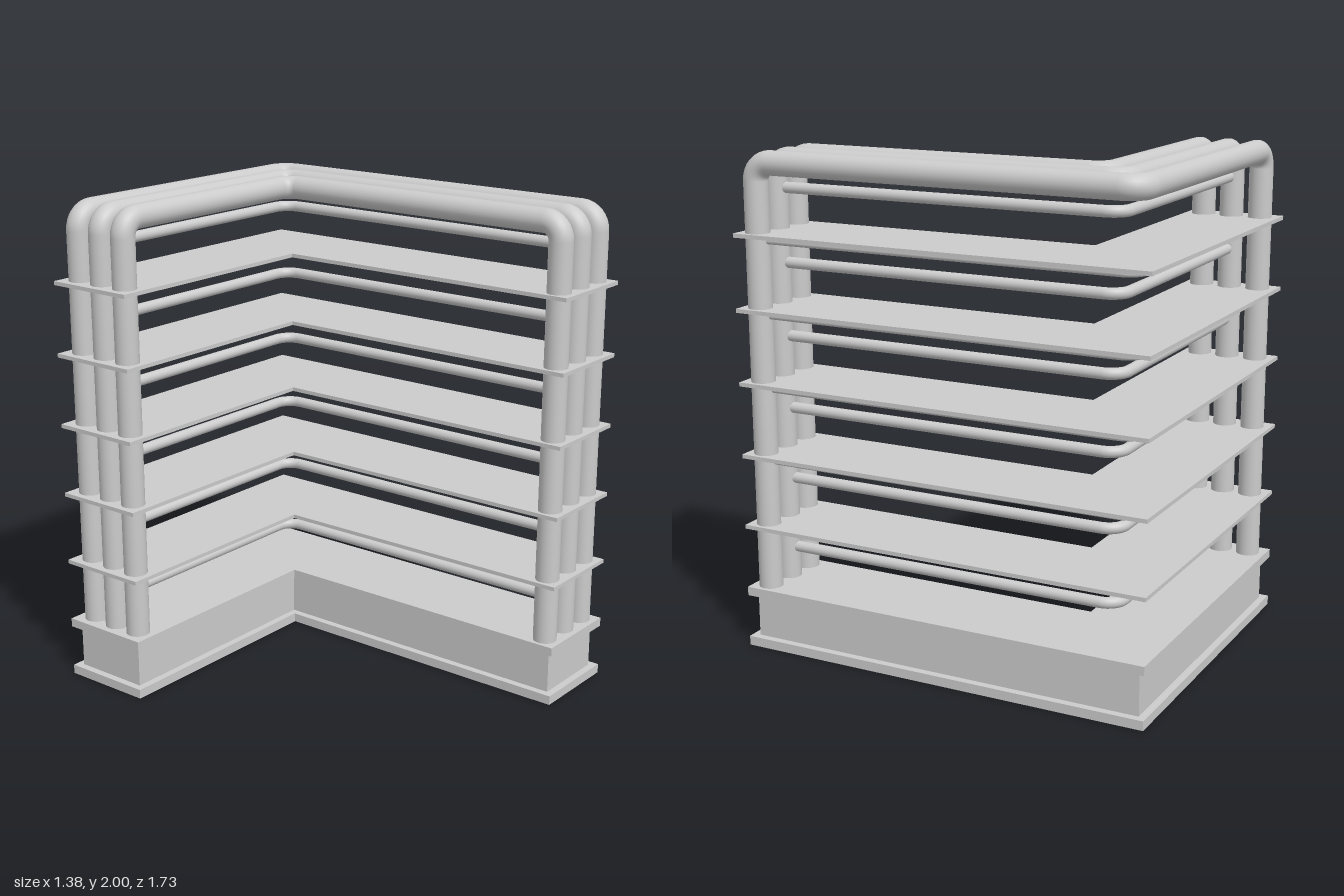
import * as THREE from 'three';

const material = new THREE.MeshStandardMaterial({ color: 0xcccccc });
const V = (x, y, z) => new THREE.Vector3(x, y, z);

// Polyline with rounded corners; each straight or bend gets an equal share of t
class BentPath extends THREE.Curve {
  constructor(points, radius) {
    super();
    this.pieces = [];
    let start = points[0];
    for (let i = 1; i < points.length - 1; i++) {
      const p = points[i];
      const a = points[i - 1].clone().sub(p).setLength(radius).add(p);
      const b = points[i + 1].clone().sub(p).setLength(radius).add(p);
      this.pieces.push(new THREE.LineCurve3(start, a));
      this.pieces.push(new THREE.CubicBezierCurve3(
        a, a.clone().lerp(p, 0.5523), b.clone().lerp(p, 0.5523), b));
      start = b;
    }
    this.pieces.push(new THREE.LineCurve3(start, points[points.length - 1]));
  }
  locate(t) {
    const n = this.pieces.length;
    const i = Math.min(Math.floor(t * n + 1e-9), n - 1);
    return [this.pieces[i], Math.min(Math.max(t * n - i, 0), 1)];
  }
  getPoint(t) { const [c, u] = this.locate(t); return c.getPoint(u); }
  getTangent(t) { const [c, u] = this.locate(t); return c.getTangent(u); }
  getPointAt(t) { return this.getPoint(t); }
  getTangentAt(t) { return this.getTangent(t); }
}

function tube(name, points, radius, bend) {
  const path = new BentPath(points, bend);
  const geometry = new THREE.TubeGeometry(path, path.pieces.length * 8, radius, 24);
  const mesh = new THREE.Mesh(geometry, material);
  mesh.name = name;
  return mesh;
}

// L-shaped plate, with its outline pulled in by inset
function plate(name, y, height, inset = 0) {
  const x = 0.6875 - inset, z = 0.8625 - inset;
  const innerX = 0.3 + inset, innerZ = -0.475 - inset;
  const outline = [[-x, -z], [-x, innerZ], [innerX, innerZ], [innerX, z], [x, z], [x, -z]];
  const shape = new THREE.Shape(outline.map(([px, pz]) => new THREE.Vector2(px, -pz)));
  const geometry = new THREE.ExtrudeGeometry(shape, { depth: height, bevelEnabled: false });
  geometry.rotateX(-Math.PI / 2);
  const mesh = new THREE.Mesh(geometry, material);
  mesh.name = name;
  mesh.position.y = y;
  return mesh;
}

export function createModel() {
  const model = new THREE.Group();
  model.name = 'cornerShelf';
  const endX = -0.613, endZ = 0.792, topY = 1.952;

  // Plinth
  model.add(plate('plinthFoot', 0, 0.038));
  model.add(plate('plinthBody', 0.038, 0.176, 0.03));
  model.add(plate('plinthTop', 0.214, 0.036));

  // Three nested pipe frames: up one leg, around the corner, down the other
  const corners = [[0.362, -0.547], [0.492, -0.667], [0.624, -0.788]];
  for (const [x, z] of corners) {
    model.add(tube('pipeFrame', [
      V(endX, 0.23, z), V(endX, topY, z), V(x, topY, z),
      V(x, topY, endZ), V(x, 0.23, endZ),
    ], 0.048, 0.07));
  }

  // Horizontal rod running from leg to leg of one frame
  const rod = (name, [x, z], y, radius) =>
    tube(name, [V(endX, y, z), V(x, y, z), V(x, y, endZ)], radius, 0.07);

  // Shelves, each with a support rod beneath its outer edge
  for (let i = 0; i < 5; i++) {
    const y = 0.497 + i * 0.2925;
    model.add(plate('shelf', y, 0.016));
    model.add(rod('shelfRod', corners[2], y - 0.012, 0.014));
  }

  // Rails halfway between the shelves
  for (let i = 0; i < 6; i++) {
    model.add(rod('middleRail', corners[1], 0.38 + i * 0.2925, 0.022));
  }
  return model;
}
